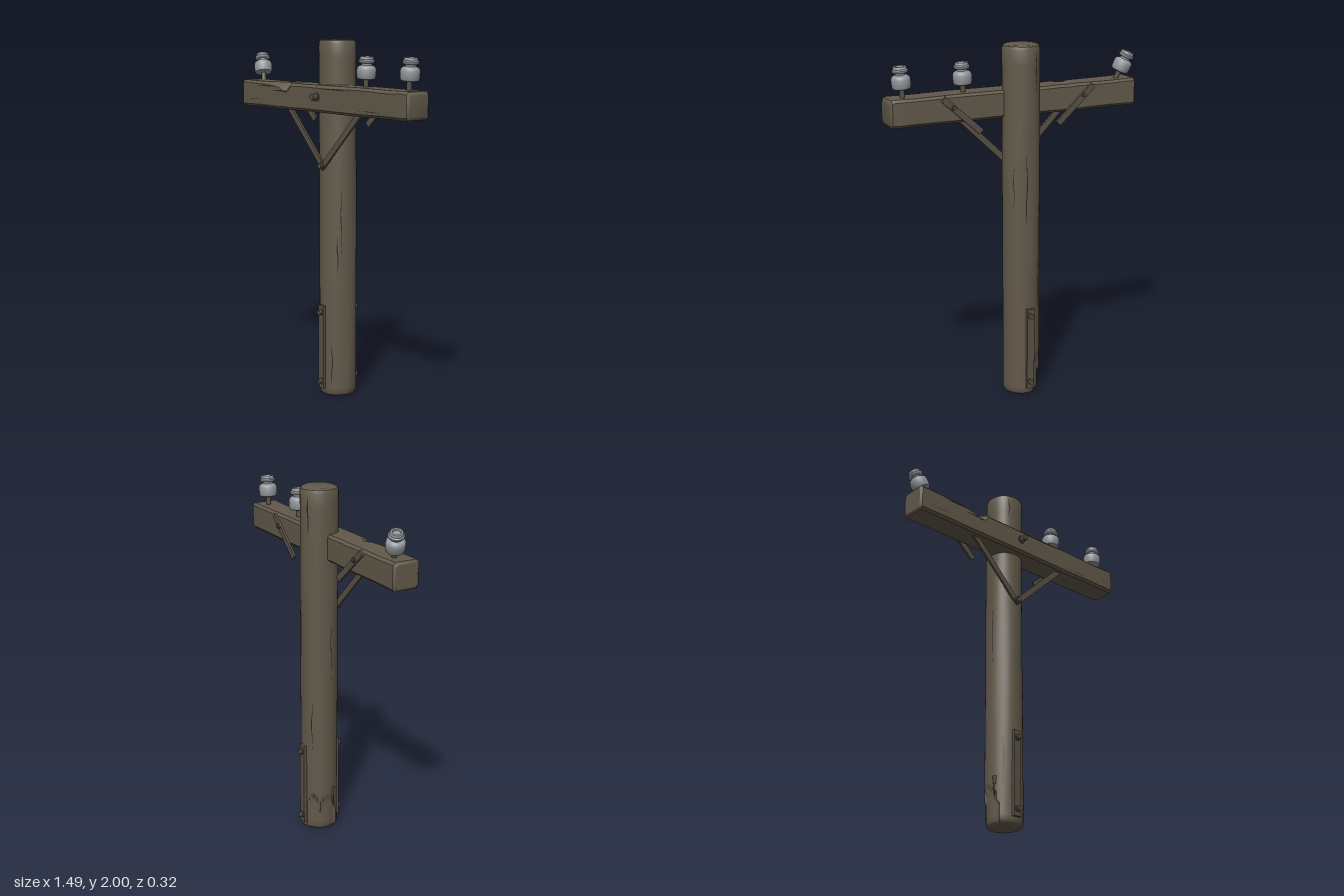
import * as THREE from 'three';
import { mergeVertices, toCreasedNormals } from 'three/addons/utils/BufferGeometryUtils.js';

const wood = new THREE.MeshStandardMaterial({ color: 0x62594a });
wood.name = 'weathered wood';
const iron = new THREE.MeshStandardMaterial({ color: 0x5a5145 });
iron.name = 'dull iron';
const ceramic = new THREE.MeshStandardMaterial({ color: 0x92969a });
ceramic.name = 'grey ceramic';
const dark = new THREE.MeshStandardMaterial({ color: 0x2a251d, side: THREE.DoubleSide });
dark.name = 'dark crack';

const POLE_X = -0.01, POLE_Z = -0.028;

function add(parent, name, geometry, material, x = 0, y = 0, z = 0) {
  const mesh = new THREE.Mesh(geometry, material);
  mesh.name = name;
  mesh.position.set(x, y, z);
  parent.add(mesh);
  return mesh;
}

function crease(geometry, angle = 0.6) {
  geometry.deleteAttribute('uv');
  geometry.deleteAttribute('normal');
  return toCreasedNormals(mergeVertices(geometry, 1e-5), angle);
}

// Skins a list of rings (running along +x) and closes both ends
function loft(rings) {
  const n = rings[0].length, pos = rings.flat(2), idx = [];
  for (let i = 0; i < rings.length - 1; i++) {
    for (let j = 0; j < n; j++) {
      const a = i * n + j, b = i * n + (j + 1) % n;
      idx.push(a, b, a + n, b, b + n, a + n);
    }
  }
  const last = (rings.length - 1) * n;
  for (let j = 1; j < n - 1; j++) idx.push(0, j + 1, j, last, last + j, last + j + 1);
  const g = new THREE.BufferGeometry();
  g.setAttribute('position', new THREE.Float32BufferAttribute(pos, 3));
  g.setIndex(idx);
  return toCreasedNormals(g, 0.5);
}

// Pole radius with slight unevenness; angle 0 faces the front
function poleRadius(a, y) {
  let r = 0.103 + 0.0015 * Math.sin(3 * a + 2 * y) + 0.001 * Math.sin(5 * a - 4 * y);
  const jag = 0.18 + 0.035 * Math.sin(a * 7) + 0.02 * Math.sin(a * 13);
  if (a > -2.8 && a < -0.95 && y < jag) r -= 0.012;
  return r;
}

function poleGeometry() {
  const pts = [[0, 0], [0.085, 0], [0.096, 0.005], [0.103, 0.018]];
  for (let y = 0.05; y < 0.3; y += 0.02) pts.push([0.103, y]);
  for (let y = 0.4; y < 1.95; y += 0.1) pts.push([0.103, y]);
  pts.push([0.103, 1.978], [0.097, 1.994], [0.086, 2], [0, 2]);
  const g = new THREE.LatheGeometry(pts.map(p => new THREE.Vector2(...p)), 40);
  const p = g.attributes.position;
  for (let i = 0; i < p.count; i++) {
    const x = p.getX(i), y = p.getY(i), z = p.getZ(i);
    const a = Math.atan2(x, z);
    const s = poleRadius(a, y) / 0.103;
    p.setXYZ(i, x * s, y, z * s);
  }
  return crease(g, 0.7);
}

// Thin tapered crack that follows the pole surface
function poleCrack(a, y0, y1, width) {
  const pos = [], idx = [], n = 8;
  for (let i = 0; i <= n; i++) {
    const t = i / n, y = y0 + (y1 - y0) * t;
    const mid = a + 0.03 * Math.sin(t * 9 + a * 5);
    const half = (width / 0.2) * Math.sin(Math.PI * Math.min(1, t * 0.96 + 0.02));
    for (const s of [-1, 1]) {
      const b = mid + s * half, r = poleRadius(b, y) + 0.0015;
      pos.push(Math.sin(b) * r, y, Math.cos(b) * r);
    }
    if (i < n) idx.push(2 * i, 2 * i + 1, 2 * i + 2, 2 * i + 1, 2 * i + 3, 2 * i + 2);
  }
  const g = new THREE.BufferGeometry();
  g.setAttribute('position', new THREE.Float32BufferAttribute(pos, 3));
  g.setIndex(idx);
  g.computeVertexNormals();
  return g;
}

// Flat sliver for cracks on plane faces
function sliver(length, width) {
  const s = new THREE.Shape([[-0.5, 0], [-0.1, 0.5], [0.2, 0.25], [0.5, 0], [0.1, -0.4], [-0.25, -0.2]]
    .map(([x, y]) => new THREE.Vector2(x * length, y * width)));
  return new THREE.ShapeGeometry(s);
}

// Beam with chamfered edges and a chip broken from its upper front edge
function crossarmGeometry() {
  const stations = [[-0.74, 0.012, 0], [-0.73, 0, 0], [-0.56, 0, 0], [-0.42, 0, 0.008], [-0.36, 0, 0.018],
    [-0.31, 0, 0.04], [-0.28, 0, 0.03], [-0.26, 0, 0.006], [-0.15, 0, 0], [0.1, 0, 0.004],
    [0.35, 0, 0], [0.6, 0, 0.003], [0.715, 0, 0], [0.735, 0.004, 0], [0.745, 0.016, 0]];
  return loft(stations.map(([x, inset, chip], i) => {
    const h = 0.075 - inset + 0.0015 * Math.sin(i * 2.1), d = 0.0775 - inset, c = 0.014, k = c + chip;
    return [[h, -d + c], [h, d - k], [h - k, d], [-h + c, d], [-h, d - c], [-h, -d + c],
      [-h + c, -d], [h - c, -d]].map(([y, z]) => [x, y, z]);
  }));
}

// Hex bolt pointing along z, direction +1 or -1
function bolt(parent, name, x, y, z, dir, r = 0.016, len = 0.022) {
  const g = new THREE.Group();
  g.name = name;
  const washer = add(g, 'washer', new THREE.CylinderGeometry(r * 1.35, r * 1.35, 0.006, 16), iron, 0, 0, dir * 0.003);
  const head = add(g, 'boltHead', new THREE.CylinderGeometry(r, r, len, 6), iron, 0, 0, dir * len / 2);
  washer.rotation.x = head.rotation.x = Math.PI / 2;
  g.position.set(x, y, z);
  parent.add(g);
}

// Flat bar between two points in a plane of constant z
function strap(parent, name, x0, y0, x1, y1, z) {
  const len = Math.hypot(x1 - x0, y1 - y0);
  const m = add(parent, name, new THREE.BoxGeometry(len, 0.034, 0.012), iron, (x0 + x1) / 2, (y0 + y1) / 2, z);
  m.rotation.z = Math.atan2(y1 - y0, x1 - x0);
}

function insulator(parent, x, y, z, tiltX, tiltZ) {
  const g = new THREE.Group();
  g.name = 'insulator';
  add(g, 'pin', new THREE.CylinderGeometry(0.014, 0.014, 0.09, 10), iron, 0, 0.025, 0);
  const profile = [[0, 0.042], [0.036, 0.042], [0.047, 0.047], [0.051, 0.058], [0.052, 0.095], [0.048, 0.107],
    [0.038, 0.115], [0.027, 0.118], [0.027, 0.128], [0.038, 0.13], [0.043, 0.136], [0.043, 0.143], [0.036, 0.149],
    [0.036, 0.158], [0.032, 0.163], [0.023, 0.163], [0.02, 0.154], [0, 0.154]];
  const body = new THREE.LatheGeometry(profile.map(p => new THREE.Vector2(...p)), 24);
  add(g, 'insulatorBody', crease(body, 0.75), ceramic);
  g.position.set(x, y, z);
  g.rotation.set(tiltX, 0, tiltZ);
  parent.add(g);
}

export function createModel() {
  const model = new THREE.Group();
  model.name = 'utilityPole';

  // Pole with cracks and a splinter
  const pole = new THREE.Group();
  pole.name = 'pole';
  pole.position.set(POLE_X, 0, POLE_Z);
  model.add(pole);
  add(pole, 'poleShaft', poleGeometry(), wood);
  const cracks = [[-0.45, 1.86, 1.985, 0.008], [-0.75, 0.2, 0.5, 0.007], [0.6, 0.06, 0.32, 0.006], [0.9, 0.7, 0.92, 0.006],
    [1.1, 0.8, 1.2, 0.004], [3.0, 1.0, 1.42, 0.006], [-2.7, 1.75, 1.98, 0.008], [-2.5, 0.5, 0.8, 0.005],
    [2.3, 1.1, 1.35, 0.004], [-1.4, 0.9, 1.3, 0.004]];
  for (const c of cracks) add(pole, 'poleCrack', poleCrack(...c), dark);
  for (const [x, z, turn] of [[-0.018, 0.07, 1.1], [-0.075, -0.02, 0.5]]) {
    const m = add(pole, 'topCrack', sliver(0.05, 0.008), dark, x, 2.0012, z);
    m.rotation.set(-Math.PI / 2, 0, turn);
  }
  const splinter = add(pole, 'splinter', new THREE.ConeGeometry(0.012, 0.13, 5), wood, -0.095, 0.195, 0.035);
  splinter.rotation.z = Math.PI;

  // Crossarm
  const arm = new THREE.Group();
  arm.name = 'crossarm';
  arm.position.set(0, 1.68, 0.0425);
  model.add(arm);
  add(arm, 'beam', crossarmGeometry(), wood);
  for (const [x, y, l, w] of [[-0.5, 0.05, 0.2, 0.008], [-0.35, 0.027, 0.16, 0.01], [0.15, 0.055, 0.26, 0.006],
    [0.45, -0.045, 0.2, 0.005], [-0.6, -0.03, 0.15, 0.004]]) {
    add(arm, 'beamCrack', sliver(l, w), dark, x, y, 0.0787);
  }
  bolt(model, 'crossarmBolt', -0.008, 1.69, 0.119, 1, 0.018, 0.038);

  // Diagonal braces: lower bars meet on the pole, upper bars sit behind the arm
  for (const s of [1, -1]) {
    strap(model, 'lowerBrace', -0.008 - s * 0.01, 1.295, s * 0.335, 1.63, s > 0 ? 0.08 : 0.076);
    strap(model, 'upperBrace', s * 0.235, 1.545, s * 0.455, 1.74, -0.042);
    bolt(model, 'braceBolt', s * 0.395, 1.69, -0.047, -1, 0.011, 0.014);
  }
  bolt(model, 'braceBolt', -0.008, 1.31, 0.084, 1, 0.015, 0.02);

  // Reinforcing plates at the foot, front and back
  for (const s of [1, -1]) {
    const face = POLE_Z + s * 0.112;
    add(model, 'footPlate', new THREE.BoxGeometry(0.045, 0.48, 0.022), iron, -0.015, 0.28, face - s * 0.007);
    for (const y of [0.08, 0.48]) bolt(model, 'plateBolt', -0.012, y, face + s * 0.002, s, 0.015, 0.022);
  }

  // Insulators
  insulator(model, -0.645, 1.755, 0.03, -0.2, 0.38);
  insulator(model, 0.307, 1.753, 0.03, 0, -0.05);
  insulator(model, 0.655, 1.758, 0.03, 0, -0.08);
  return model;
}
